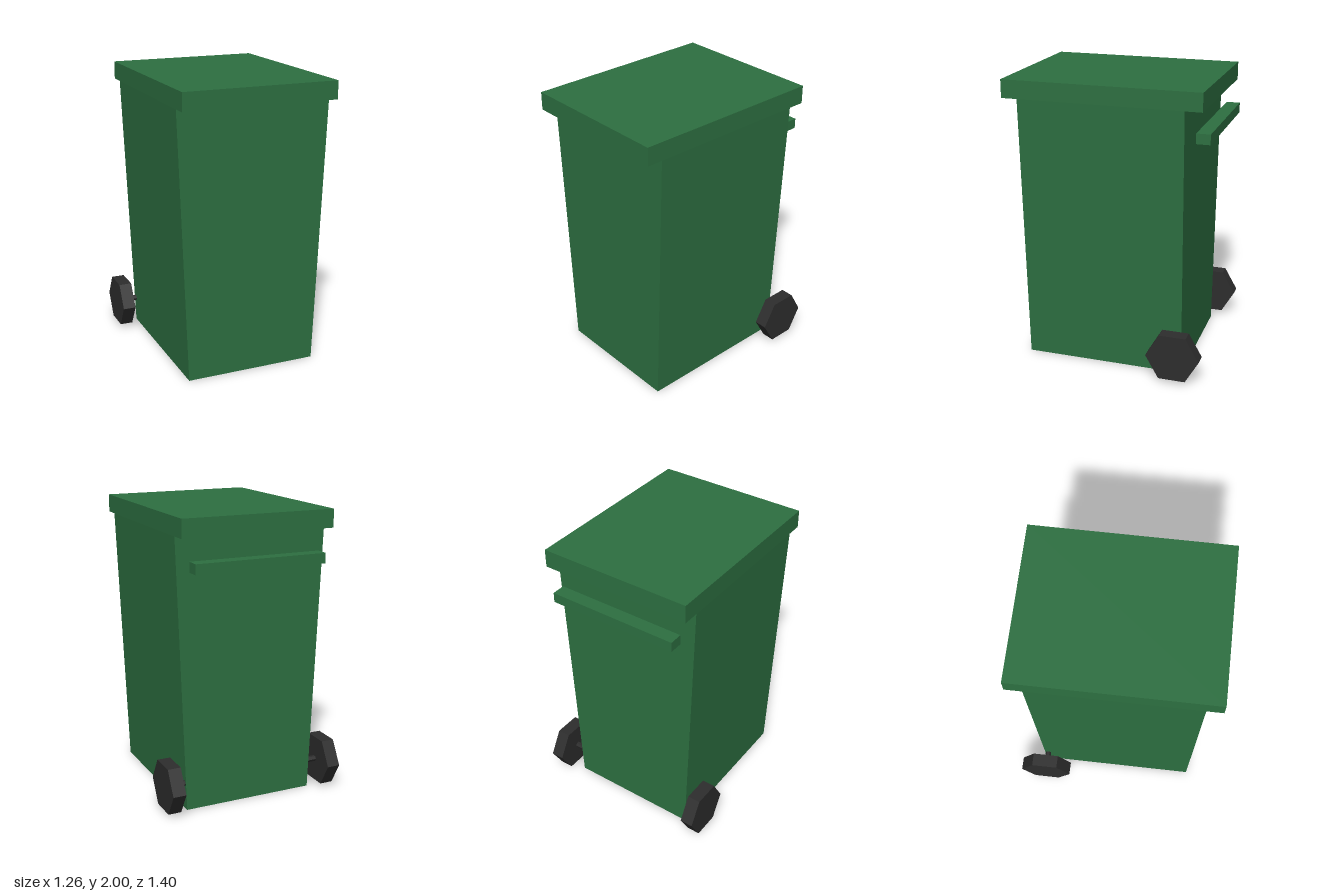
import * as THREE from 'three';

export function createModel() {
  const model = new THREE.Group();
  model.name = 'wheelieBin';

  const green = new THREE.MeshStandardMaterial({ color: 0x2d7041 });
  green.name = 'green plastic';
  const black = new THREE.MeshStandardMaterial({ color: 0x2d2d2d });
  black.name = 'black rubber';

  const add = (name, geometry, material, x, y, z) => {
    const mesh = new THREE.Mesh(geometry, material);
    mesh.name = name;
    mesh.position.set(x, y, z);
    model.add(mesh);
    return mesh;
  };

  // Tapered body: a box whose lower corners are pulled in
  const bodyHeight = 1.875;
  const bodyGeometry = new THREE.BoxGeometry(1.08, bodyHeight, 1.136);
  const p = bodyGeometry.attributes.position;
  for (let i = 0; i < p.count; i++) {
    if (p.getY(i) < 0) {
      p.setX(i, Math.sign(p.getX(i)) * 0.467);
      p.setZ(i, Math.sign(p.getZ(i)) * 0.561);
    }
  }
  bodyGeometry.computeVertexNormals();
  add('body', bodyGeometry, green, 0, bodyHeight / 2, 0.022);

  // Lid overhanging front and back
  add('lid', new THREE.BoxGeometry(1.082, 0.125, 1.362), green, 0, 1.9375, 0.019);

  // Rear handle bar
  add('handle', new THREE.BoxGeometry(0.93, 0.07, 0.095), green, 0, 1.685, -0.652);

  // Six-sided axle and wheels lying along x
  const rod = (radius, length) => {
    const g = new THREE.CylinderGeometry(radius, radius, length, 6).toNonIndexed();
    g.rotateZ(Math.PI / 2);
    g.computeVertexNormals();
    return g;
  };
  const axleY = 0.19, axleZ = -0.514;
  add('axle', rod(0.021, 1.1), black, 0, axleY, axleZ);
  for (const [name, side] of [['leftWheel', 1], ['rightWheel', -1]]) {
    add(name, rod(0.186, 0.092), black, side * 0.586, axleY, axleZ);
  }

  return model;
}
